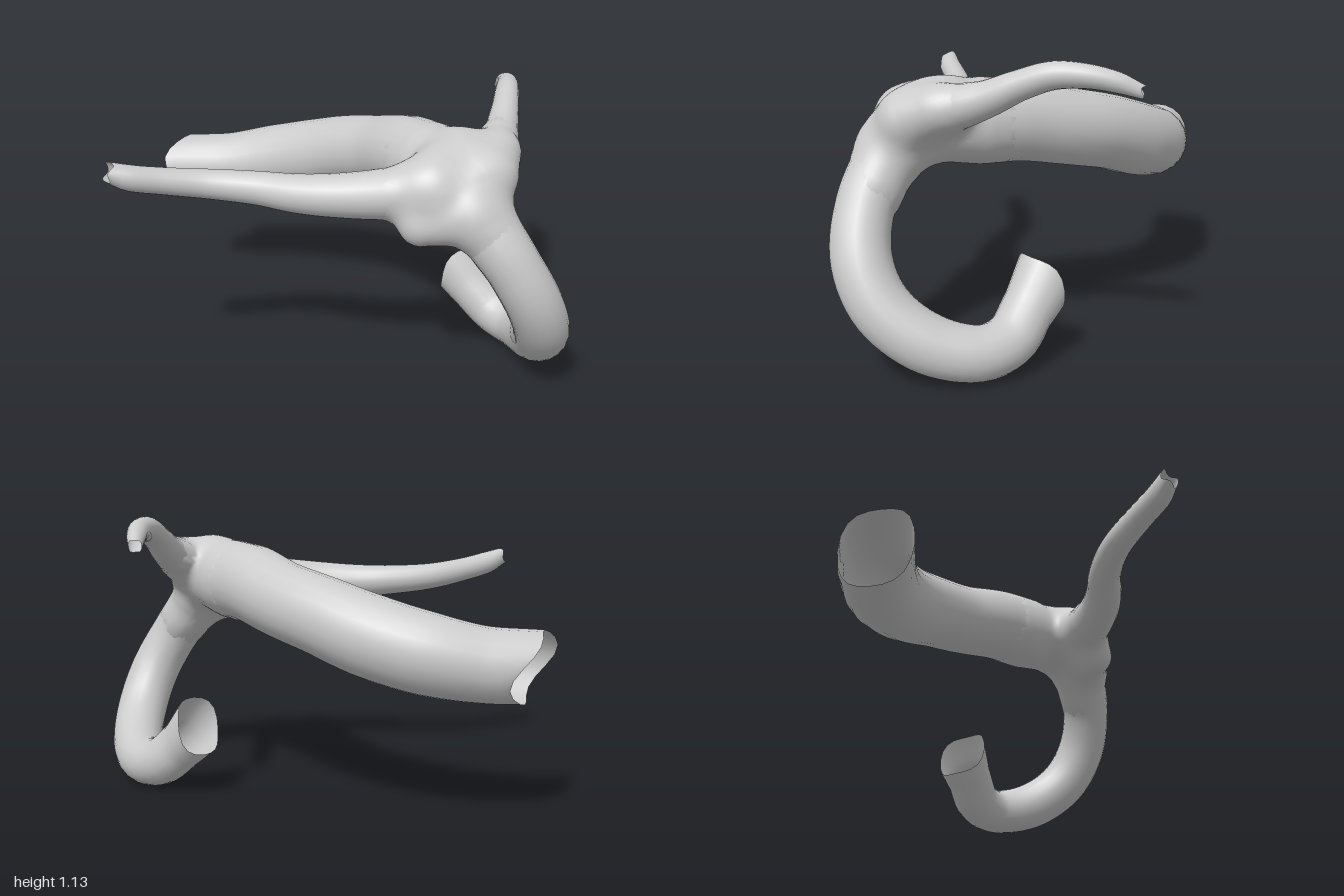
import * as THREE from 'three';
import { mergeVertices } from 'three/addons/utils/BufferGeometryUtils.js';

// Vessel paths: each station is [x, y, z, radius], running outward from the junction.
// rim is the unevenness of the open end, cut the direction its end plane faces.
const VESSELS = {
  descendingTube: {
    rim: 0.022, cut: [-0.1, -0.3, -0.95], stations: [
      [0.13, 0.87, 0.5, 0.15], [0.18, 0.86, 0.36, 0.165], [0.24, 0.85, 0.2, 0.16], [0.305, 0.805, 0, 0.152],
      [0.325, 0.76, -0.2, 0.153], [0.31, 0.70, -0.4, 0.158], [0.255, 0.648, -0.6, 0.155],
      [0.155, 0.61, -0.78, 0.142], [0.045, 0.60, -0.94, 0.138]],
  },
  hookedTube: {
    rim: 0.012, cut: [0, 0.4, -0.92], stations: [
      [0.07, 0.85, 0.6, 0.14], [0.055, 0.71, 0.72, 0.118], [0.08, 0.58, 0.82, 0.108], [0.145, 0.42, 0.885, 0.11],
      [0.24, 0.27, 0.875, 0.11], [0.37, 0.15, 0.78, 0.108], [0.48, 0.1, 0.63, 0.1],
      [0.5, 0.12, 0.5, 0.1], [0.485, 0.2, 0.4, 0.1], [0.475, 0.29, 0.315, 0.115]],
  },
  rightBranch: {
    rim: 0.01, cut: [-0.85, 0.3, -0.4], stations: [
      [-0.03, 0.85, 0.5, 0.13], [-0.14, 0.835, 0.4, 0.1], [-0.27, 0.828, 0.25, 0.085], [-0.35, 0.826, 0.12, 0.076],
      [-0.42, 0.833, -0.02, 0.066], [-0.54, 0.848, -0.17, 0.058], [-0.68, 0.875, -0.27, 0.052],
      [-0.79, 0.903, -0.335, 0.05], [-0.845, 0.93, -0.375, 0.038]],
  },
  leftBranch: {
    rim: 0.008, cut: [0.8, -0.2, -0.6], stations: [
      [0.14, 0.915, 0.6, 0.095], [0.29, 0.95, 0.58, 0.085], [0.41, 0.99, 0.53, 0.066], [0.52, 1.045, 0.475, 0.054],
      [0.62, 1.083, 0.42, 0.049], [0.72, 1.085, 0.36, 0.042], [0.8, 1.065, 0.295, 0.036], [0.86, 1.035, 0.24, 0.024]],
  },
};

// Webs filling the junction: front shoulder, lower side, upper plateau
const WEBS = [
  [[0.14, 0.9, 0.67, 0.09], [0.24, 0.94, 0.63, 0.075]],
  [[-0.11, 0.735, 0.52, 0.085], [0, 0.77, 0.65, 0.11]],
  [[-0.06, 0.87, 0.52, 0.1], [0.16, 0.94, 0.5, 0.09]],
];

const material = new THREE.MeshStandardMaterial({ color: 0xcccccc, side: THREE.DoubleSide });

// Open tube of varying radius, its far end trimmed to a slanted uneven rim
function vesselGeometry({ stations, rim, cut }) {
  const curve = new THREE.CatmullRomCurve3(stations.map(s => new THREE.Vector3(...s)));
  const rows = stations.length * 5, sides = 20;
  const frames = curve.computeFrenetFrames(rows, false);
  const cutNormal = new THREE.Vector3(...cut).normalize();
  const positions = [], index = [];
  for (let i = 0; i <= rows; i++) {
    const u = i / rows, p = curve.getPointAt(u);
    const s = curve.getUtoTmapping(u) * (stations.length - 1);
    const k = Math.min(Math.floor(s), stations.length - 2);
    const radius = THREE.MathUtils.lerp(stations[k][3], stations[k + 1][3], s - k);
    const trim = Math.max(0, (u - 0.85) / 0.15);
    const tangent = frames.tangents[i];
    for (let j = 0; j < sides; j++) {
      const a = j / sides * Math.PI * 2;
      const offset = new THREE.Vector3()
        .addScaledVector(frames.normals[i], Math.cos(a) * radius)
        .addScaledVector(frames.binormals[i], Math.sin(a) * radius);
      const slant = trim > 0 ? -offset.dot(cutNormal) / tangent.dot(cutNormal) : 0;
      const v = p.clone().add(offset).addScaledVector(tangent, trim * (slant + rim * Math.cos(3 * a + 1)));
      positions.push(v.x, v.y, v.z);
      if (i < rows) {
        const q = i * sides + j, r = i * sides + (j + 1) % sides;
        index.push(q, r, q + sides, r, r + sides, q + sides);
      }
    }
  }
  const g = new THREE.BufferGeometry();
  g.setAttribute('position', new THREE.Float32BufferAttribute(positions, 3));
  g.setIndex(index);
  g.computeVertexNormals();
  return g;
}

// Distance from a point to a chain of tapered segments
function chainDistance(p, stations) {
  let best = Infinity;
  for (let i = 0; i < stations.length - 1; i++) {
    const a = new THREE.Vector3(...stations[i]), b = new THREE.Vector3(...stations[i + 1]);
    const ab = b.clone().sub(a);
    const t = THREE.MathUtils.clamp(p.clone().sub(a).dot(ab) / ab.lengthSq(), 0, 1);
    const r = THREE.MathUtils.lerp(stations[i][3], stations[i + 1][3], t);
    best = Math.min(best, p.distanceTo(a.addScaledVector(ab, t)) - r);
  }
  return best;
}

function smoothMin(a, b, k) {
  const h = Math.max(k - Math.abs(a - b), 0) / k;
  return Math.min(a, b) - h * h * k / 4;
}

// Junction: a sphere pushed out to the blended skin of all vessels and webs
function junctionGeometry() {
  const chains = [...Object.values(VESSELS).map(v => v.stations.slice(0, 5)), ...WEBS];
  const field = p => chains.map(c => chainDistance(p, c)).reduce((a, b) => smoothMin(a, b, 0.07));
  let g = new THREE.IcosahedronGeometry(1, 18);
  g.deleteAttribute('normal');
  g.deleteAttribute('uv');
  g = mergeVertices(g, 1e-4);
  const centre = new THREE.Vector3(0.07, 0.85, 0.54), pos = g.attributes.position;
  for (let i = 0; i < pos.count; i++) {
    const dir = new THREE.Vector3().fromBufferAttribute(pos, i).normalize();
    let reach = 0.02;
    for (let n = 0; n < 30 && reach < 0.36; n++) {
      const d = field(centre.clone().addScaledVector(dir, reach));
      if (d > -0.0008) break;
      reach -= d * 0.9;
    }
    const v = centre.clone().addScaledVector(dir, Math.min(reach, 0.36));
    pos.setXYZ(i, v.x, v.y, v.z);
  }
  g.computeVertexNormals();
  return g;
}

export function createModel() {
  const group = new THREE.Group();
  group.name = 'branchingVessel';
  const add = (name, geometry) => {
    const mesh = new THREE.Mesh(geometry, material);
    mesh.name = name;
    group.add(mesh);
  };
  for (const [name, vessel] of Object.entries(VESSELS)) add(name, vesselGeometry(vessel));
  add('junction', junctionGeometry());
  return group;
}
